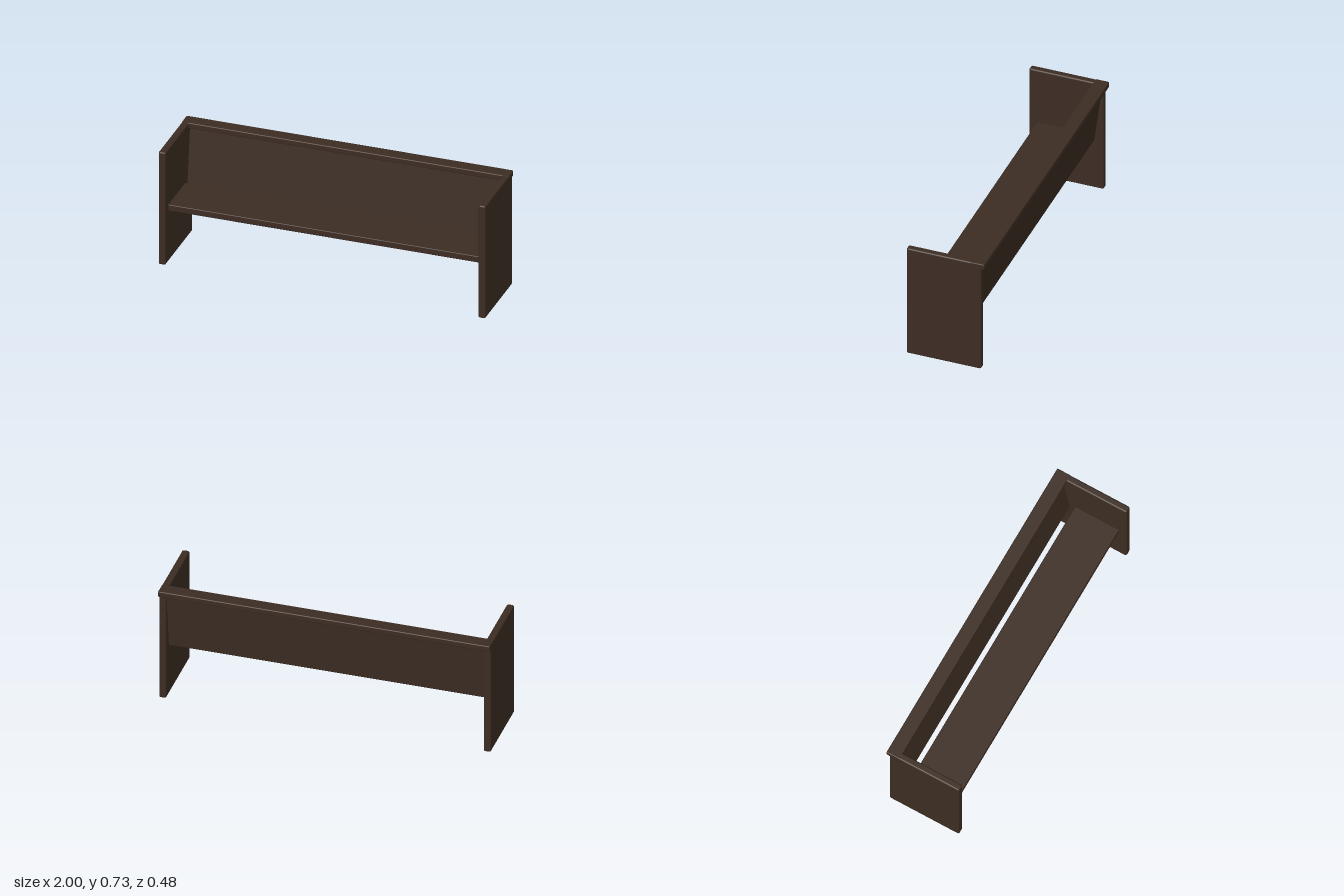
import * as THREE from 'three';
import { RoundedBoxGeometry } from 'three/addons/geometries/RoundedBoxGeometry.js';

export function createModel() {
  const bench = new THREE.Group();
  bench.name = 'bench';

  const wood = new THREE.MeshStandardMaterial({ color: 0x3d2d23 });
  wood.name = 'darkWood';

  // A softly rounded board between two corners
  function board(name, min, max, radius) {
    const size = max.map((v, i) => v - min[i]);
    const mesh = new THREE.Mesh(new RoundedBoxGeometry(...size, 3, radius), wood);
    mesh.position.set(...max.map((v, i) => (v + min[i]) / 2));
    mesh.name = name;
    bench.add(mesh);
    return mesh;
  }

  // Solid end panels
  board('leftEnd', [0.957, 0, -0.22], [1, 0.73, 0.24], 0.01);
  board('rightEnd', [-1, 0, -0.22], [-0.957, 0.73, 0.24], 0.01);

  // Flat seat, with a gap behind it
  board('seat', [-0.965, 0.33, -0.1], [0.965, 0.37, 0.19], 0.005);

  // Cap rail running over the back of both ends
  board('topRail', [-1, 0.695, -0.24], [1, 0.731, -0.155], 0.006);

  // Backrest leaning backwards, its top tucked into the rail
  const back = board('backrest', [-0.965, 0.33, -0.187], [0.965, 0.712, -0.157], 0.004);
  back.rotation.x = -Math.atan2(0.047, 0.37);

  return bench;
}
